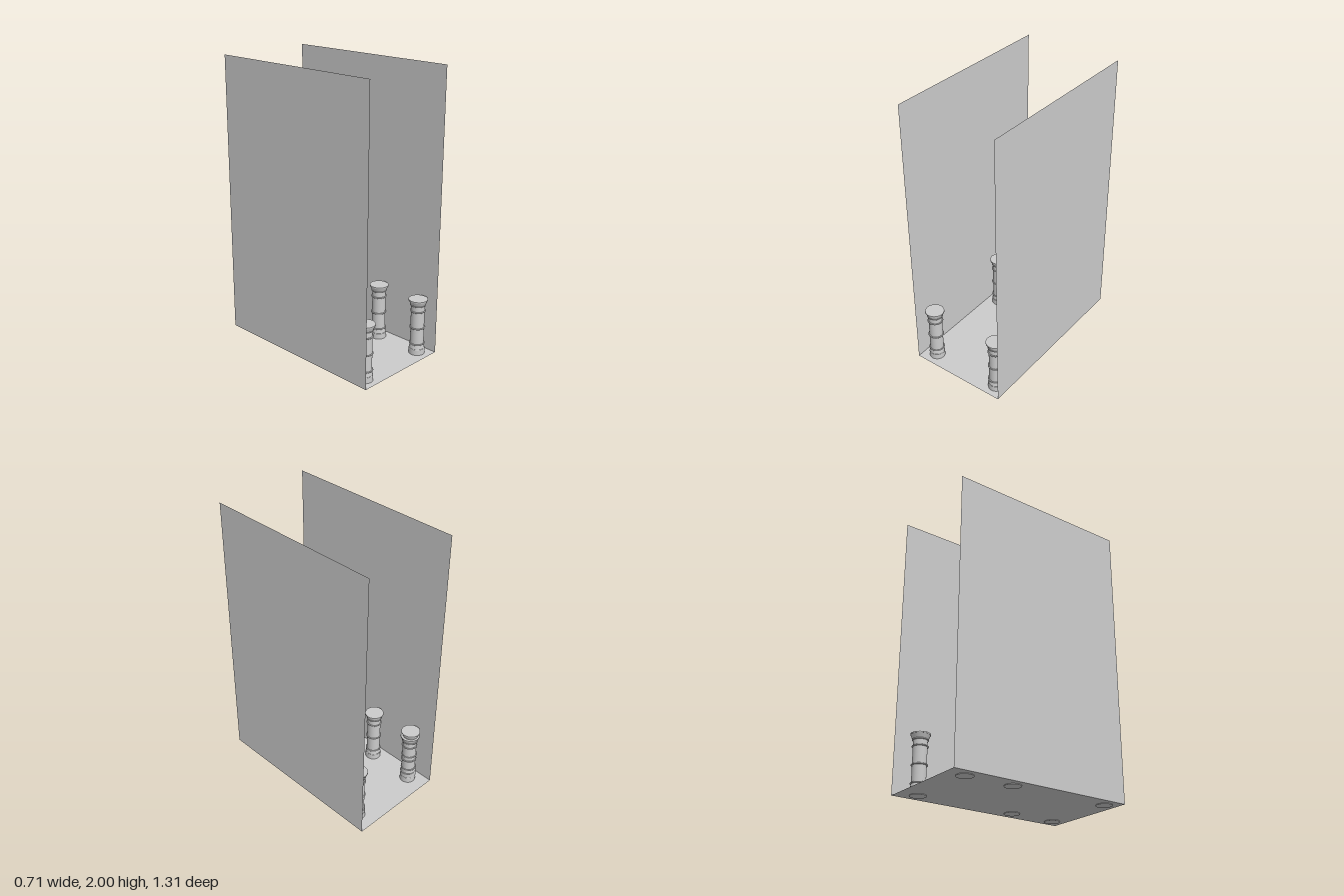
import * as THREE from 'three';

const FLOOR_Y = 0.004, HALF_W = 0.355, LENGTH = 1.31, TOP = 2;

const grey = new THREE.MeshStandardMaterial({ color: 0xcccccc });
const thinGrey = new THREE.MeshStandardMaterial({ color: 0xcccccc, side: THREE.DoubleSide });

function add(parent, name, geometry, material = grey) {
  const mesh = new THREE.Mesh(geometry, material);
  mesh.name = name;
  parent.add(mesh);
  return mesh;
}

// One round section of a column between two heights
function section(column, name, y0, y1, r0, r1 = r0) {
  add(column, name, new THREE.CylinderGeometry(r1, r0, y1 - y0, 40)).position.y = (y0 + y1) / 2;
}

function makeColumn(name, x, y, z) {
  const column = new THREE.Group();
  column.name = name;
  column.position.set(x, y, z);

  section(column, 'base', 0, 0.042, 0.055);
  section(column, 'baseTaper', 0.042, 0.078, 0.053, 0.048);
  section(column, 'shaft', 0.07, 0.37, 0.047);
  section(column, 'capitalFlare', 0.365, 0.4, 0.05, 0.064);
  section(column, 'capitalSlab', 0.4, 0.408, 0.066);

  // Thin mouldings round the shaft
  for (const h of [0.042, 0.08, 0.2, 0.323, 0.367]) {
    const ring = add(column, 'ring', new THREE.TorusGeometry(0.05, 0.005, 10, 40));
    ring.rotation.x = Math.PI / 2;
    ring.position.y = h;
  }
  return column;
}

export function createModel() {
  const model = new THREE.Group();
  model.name = 'columnHall';

  // Floor sheet
  const floor = add(model, 'floor', new THREE.PlaneGeometry(HALF_W * 2, LENGTH), thinGrey);
  floor.rotation.x = -Math.PI / 2;
  floor.position.y = FLOOR_Y;

  // Tall side walls, facing inwards
  for (const side of [-1, 1]) {
    const wall = add(model, side > 0 ? 'leftWall' : 'rightWall',
      new THREE.PlaneGeometry(LENGTH, TOP - FLOOR_Y), thinGrey);
    wall.rotation.y = -side * Math.PI / 2;
    wall.position.set(side * HALF_W, (TOP + FLOOR_Y) / 2, 0);
  }

  // Columns; the back right one carries a second, raised column over it
  const places = [
    ['frontRightColumn', -0.262, 0, 0.56],
    ['frontLeftColumn', 0.268, 0, 0.56],
    ['middleLeftColumn', 0.262, 0, 0.21],
    ['middleRightColumn', -0.262, 0, -0.173],
    ['backLeftColumn', 0.262, 0, -0.518],
    ['backRightColumn', -0.262, 0, -0.518],
    ['backRightRaisedColumn', -0.266, 0.037, -0.518],
  ];
  for (const place of places) model.add(makeColumn(...place));

  return model;
}
